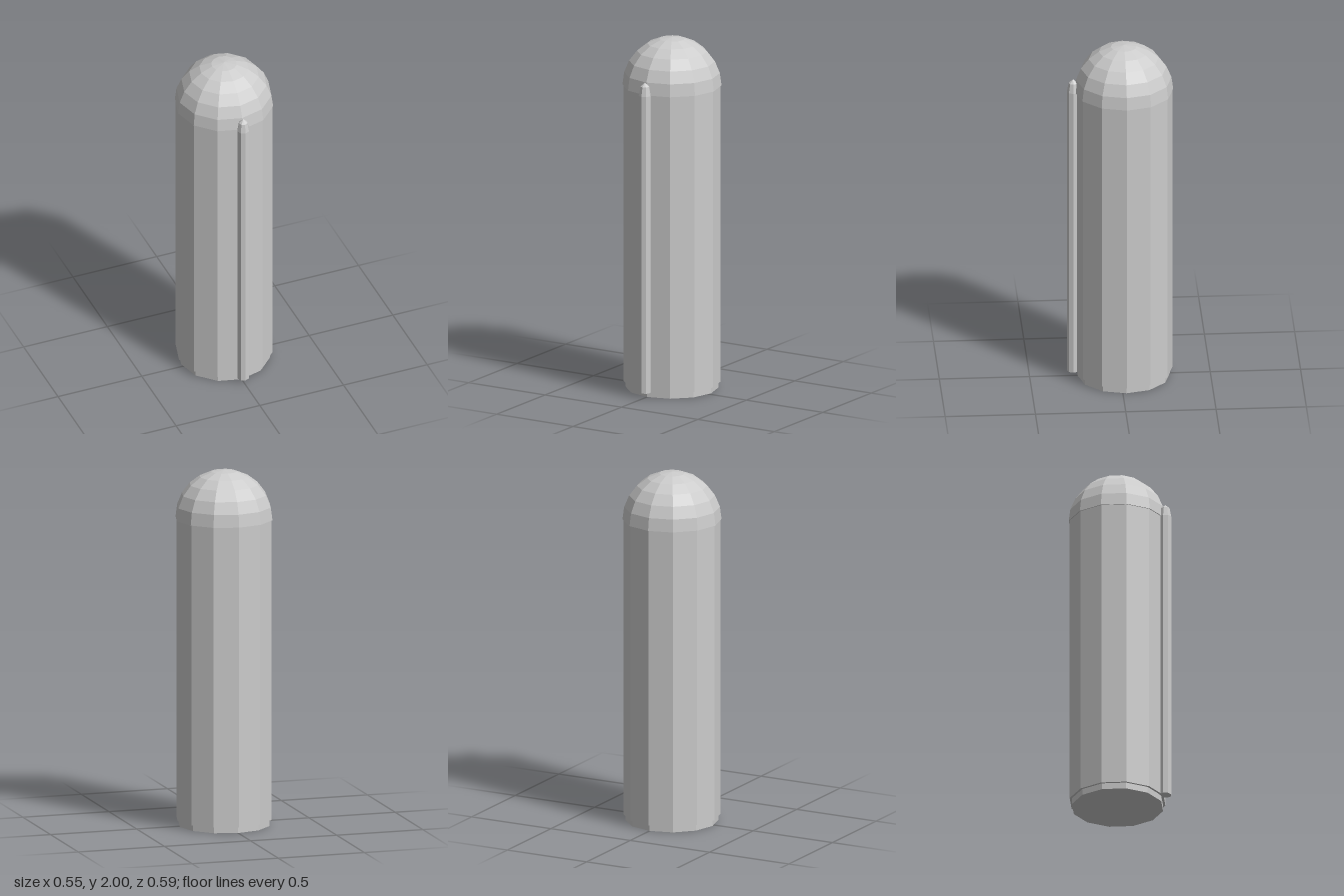
import * as THREE from 'three';

const material = new THREE.MeshStandardMaterial({ color: 0xcccccc, flatShading: true });

// Faceted solid of revolution; profile runs from bottom to top as [radius, y]
function turned(name, profile, sides, z) {
  const points = profile.map(([r, y]) => new THREE.Vector2(r, y));
  const mesh = new THREE.Mesh(new THREE.LatheGeometry(points, sides), material);
  mesh.name = name;
  mesh.position.z = z;
  return mesh;
}

// Rounded cap profile: steps from the rim up to the apex
function capProfile(radius, y, height, steps) {
  return Array.from({ length: steps + 1 }, (_, i) => {
    const a = (i / steps) * Math.PI / 2;
    return [i === steps ? 0 : radius * Math.cos(a), y + height * Math.sin(a)];
  });
}

export function createModel() {
  const model = new THREE.Group();
  model.name = 'domedCylinder';
  const z = -0.021, seam = 1.726, foot = 0.035;

  // Recessed foot
  model.add(turned('base', [[0, 0], [0.256, 0], [0.256, foot + 0.01]], 12, z));

  // Long twelve-sided body
  model.add(turned('body', [[0, foot], [0.269, foot], [0.269, seam], [0, seam]], 12, z));

  // Domed top, slightly wider than the body
  model.add(turned('dome', [[0.26, seam], ...capProfile(0.274, seam, 2 - seam, 6)], 12, z));

  // Slim rib down the front with a rounded tip
  model.add(turned('frontRib', [[0, foot - 0.003], [0.035, foot - 0.003], ...capProfile(0.035, seam, 0.074, 2)], 8, 0.259));

  return model;
}
